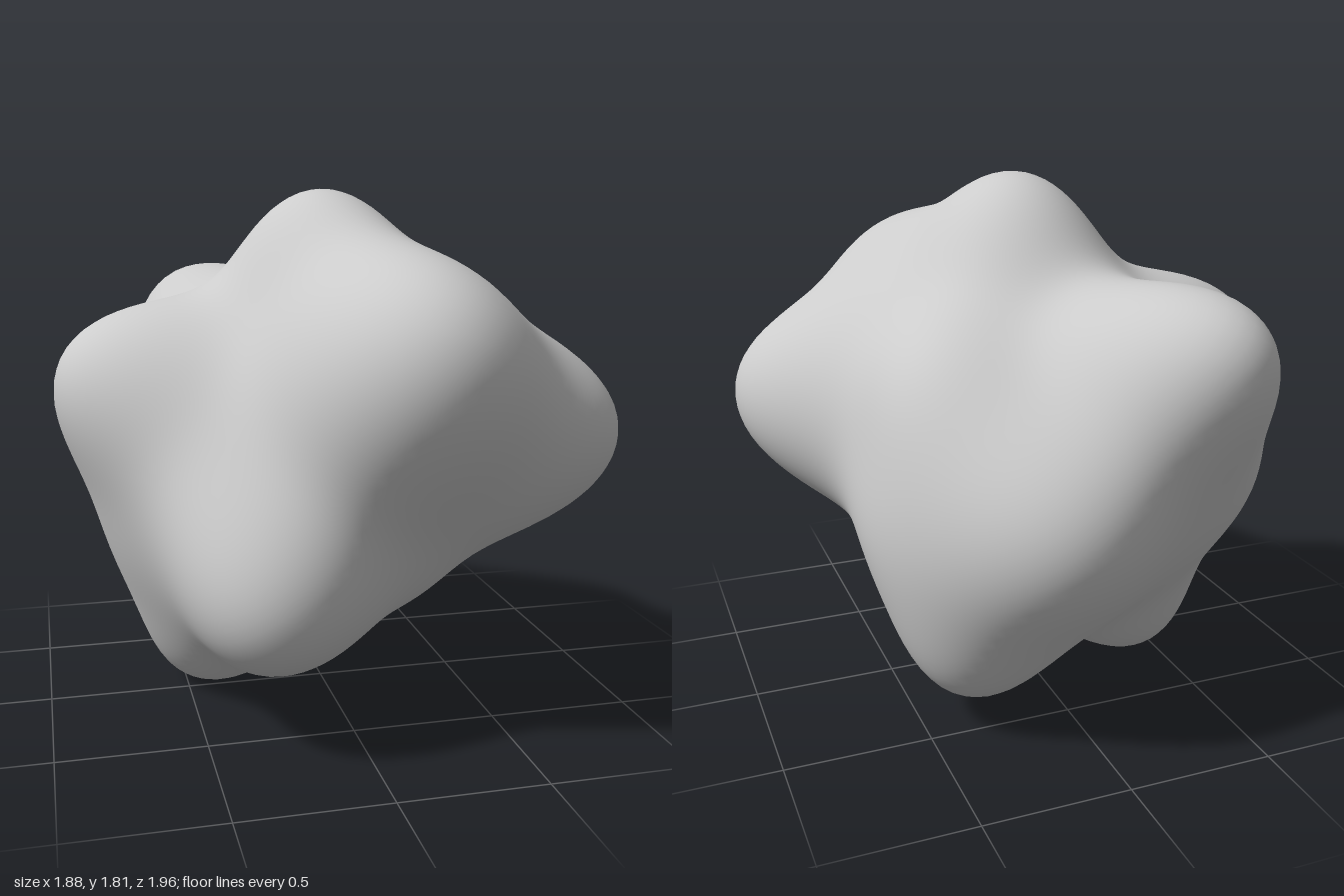
import * as THREE from 'three';
import { mergeVertices } from 'three/addons/utils/BufferGeometryUtils.js';

const BASE = 0.58;

// Knobs: tip position relative to the centre, and sharpness (higher is narrower)
const KNOBS = [
  { tip: [-0.03, 0.92, 0.03], k: 10 },    // top
  { tip: [0.21, 0.48, 0.97], k: 7.5 },    // upper front
  { tip: [0.13, 0.75, 0.56], k: 9 },      // saddle from top to upper front
  { tip: [0.92, 0.1, 0.51], k: 10 },      // left side
  { tip: [0.6, 0.48, 0.24], k: 10 },      // slope above left side
  { tip: [-0.92, 0.35, 0.02], k: 9 },     // right side
  { tip: [-0.65, 0.53, 0], k: 10 },       // slope above right side
  { tip: [-0.76, -0.38, -0.02], k: 9 },   // flank below right side
  { tip: [-0.59, -0.1, 0.52], k: 9 },     // right cheek
  { tip: [-0.33, -0.46, 0.8], k: 10 },    // lower front
  { tip: [-0.38, -0.67, 0.36], k: 10 },   // web from lower front to right foot
  { tip: [0.28, -0.48, 0.34], k: 9 },     // belly
  { tip: [-0.45, -0.88, -0.13], k: 13 },  // right foot
  { tip: [0, -0.69, -0.1], k: 12 },       // hollow between the feet
  { tip: [0.36, -0.77, -0.45], k: 12 },   // left foot
  { tip: [0.64, -0.29, -0.37], k: 10 },   // web above left foot
  { tip: [0.37, -0.37, -0.77], k: 10 },   // ridge from back bulge to left foot
  { tip: [0.54, 0.02, -0.6], k: 10 },     // back left flank
  { tip: [0.1, -0.06, -0.96], k: 9 },     // back bulge
  { tip: [-0.41, 0.53, -0.91], k: 13 },   // upper back
  { tip: [0.47, 0.38, -0.43], k: 8 },     // back left shoulder
  { tip: [-0.65, -0.03, -0.61], k: 10 },  // back right flank
  { tip: [-0.49, -0.44, -0.47], k: 10 },  // lower back right
  { tip: [-0.12, -0.46, -0.65], k: 10 },  // lower back
].map(({ tip, k }) => {
  const v = new THREE.Vector3(...tip);
  return { radius: v.length(), dir: v.clone().normalize(), k, height: 0 };
});

// Distance of the skin from the centre along a unit direction
function radiusAt(dir) {
  let r = BASE;
  for (const b of KNOBS) r += b.height * Math.exp(b.k * (dir.dot(b.dir) - 1));
  return r;
}

// Adjust the knob heights until every tip lies at its own radius
function fitHeights() {
  for (const b of KNOBS) b.height = 0;
  for (let i = 0; i < 200; i++) {
    for (const b of KNOBS) b.height += 0.8 * (b.radius - radiusAt(b.dir));
  }
}

export function createModel() {
  fitHeights();

  // Fine sphere pushed out along its radii
  let geo = new THREE.IcosahedronGeometry(1, 26);
  geo.deleteAttribute('uv');
  geo.deleteAttribute('normal');
  geo = mergeVertices(geo, 1e-4);
  const pos = geo.attributes.position;
  const v = new THREE.Vector3();
  for (let i = 0; i < pos.count; i++) {
    v.fromBufferAttribute(pos, i).normalize();
    v.multiplyScalar(radiusAt(v));
    pos.setXYZ(i, v.x, v.y, v.z);
  }

  // Centre the body and stand it on the ground
  geo.computeBoundingBox();
  const { min, max } = geo.boundingBox;
  geo.translate(-(min.x + max.x) / 2, -min.y, -(min.z + max.z) / 2);
  geo.computeVertexNormals();

  const body = new THREE.Mesh(geo, new THREE.MeshStandardMaterial({ color: 0xcccccc }));
  body.name = 'knobblyBody';
  const group = new THREE.Group();
  group.name = 'knobblyBlob';
  group.add(body);
  return group;
}
